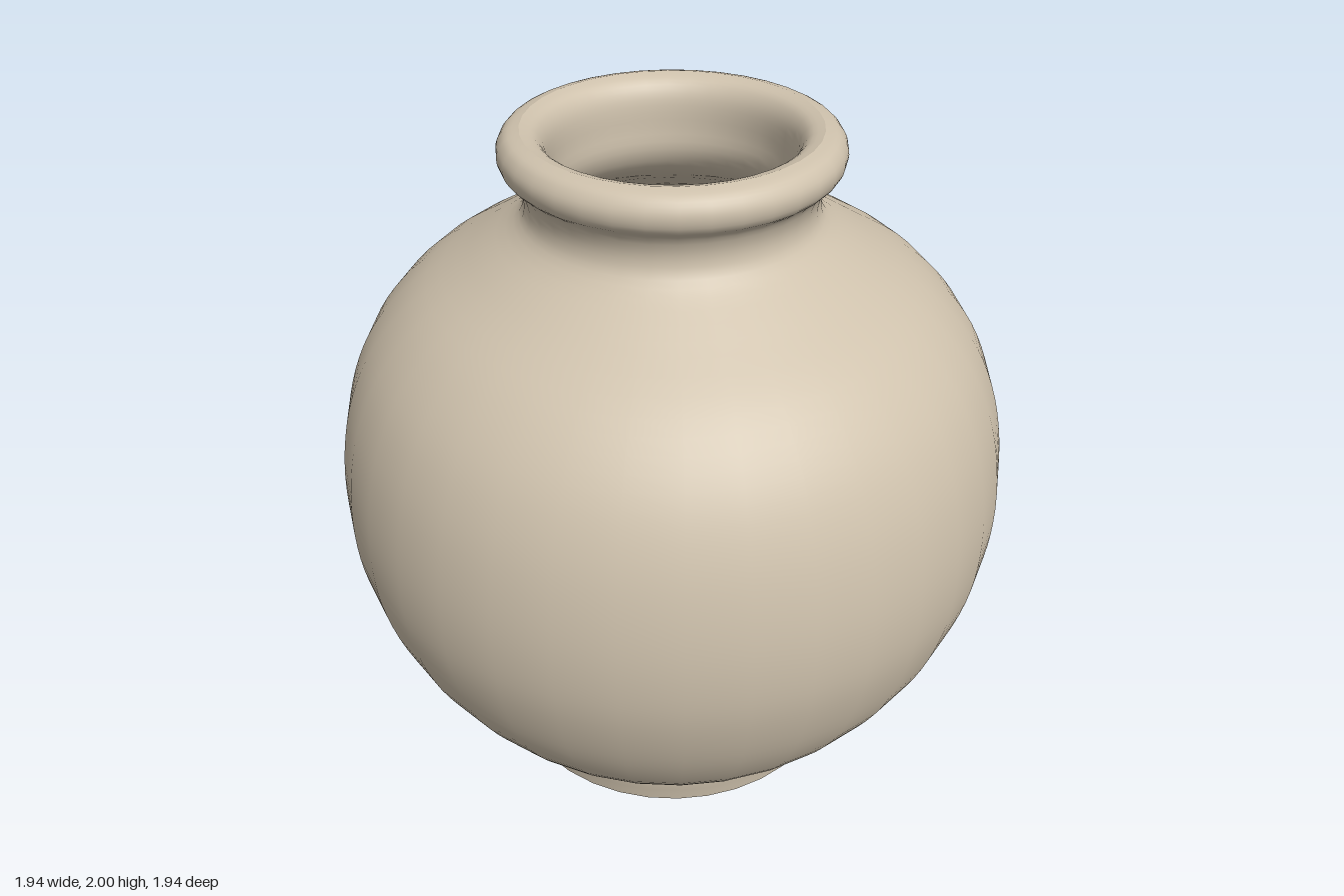
import * as THREE from 'three';

const SEGMENTS = 36;

// Smooth curve through [radius, height] pairs
function smooth(pairs, divisions) {
  const pts = pairs.map(([r, y]) => new THREE.Vector2(r, y));
  return new THREE.SplineCurve(pts).getPoints(divisions);
}

export function createModel() {
  const group = new THREE.Group();
  group.name = 'pot';
  const clay = new THREE.MeshStandardMaterial({ color: 0xcfc2ad });
  clay.name = 'pale clay';

  function addTurned(name, points) {
    const mesh = new THREE.Mesh(new THREE.LatheGeometry(points, SEGMENTS), clay);
    mesh.name = name;
    group.add(mesh);
  }

  // Flat underside, kept separate for a crisp edge
  addTurned('footBase', [new THREE.Vector2(0, 0.005), new THREE.Vector2(0.51, 0), new THREE.Vector2(0.53, 0.01)]);

  // Foot, round belly, neck and rolled rim
  addTurned('outerWall', smooth([
    [0.53, 0.01], [0.54, 0.07], [0.557, 0.13], [0.66, 0.22], [0.78, 0.36],
    [0.885, 0.54], [0.95, 0.74], [0.97, 0.92], [0.957, 1.1], [0.915, 1.27],
    [0.84, 1.42], [0.72, 1.55], [0.55, 1.66], [0.43, 1.74], [0.4, 1.8],
    [0.415, 1.865], [0.455, 1.905], [0.463, 1.95], [0.44, 1.987], [0.4, 2],
  ], 76));

  // Mouth and hollow inside, from the rim down to the floor
  addTurned('innerWall', smooth([
    [0.4, 2], [0.36, 1.985], [0.335, 1.94], [0.33, 1.86], [0.335, 1.77],
    [0.41, 1.68], [0.66, 1.52], [0.85, 1.27], [0.91, 0.92], [0.83, 0.54],
    [0.64, 0.26], [0.5, 0.14],
  ], 44));
  addTurned('innerFloor', [new THREE.Vector2(0.5, 0.14), new THREE.Vector2(0, 0.12)]);

  return group;
}
